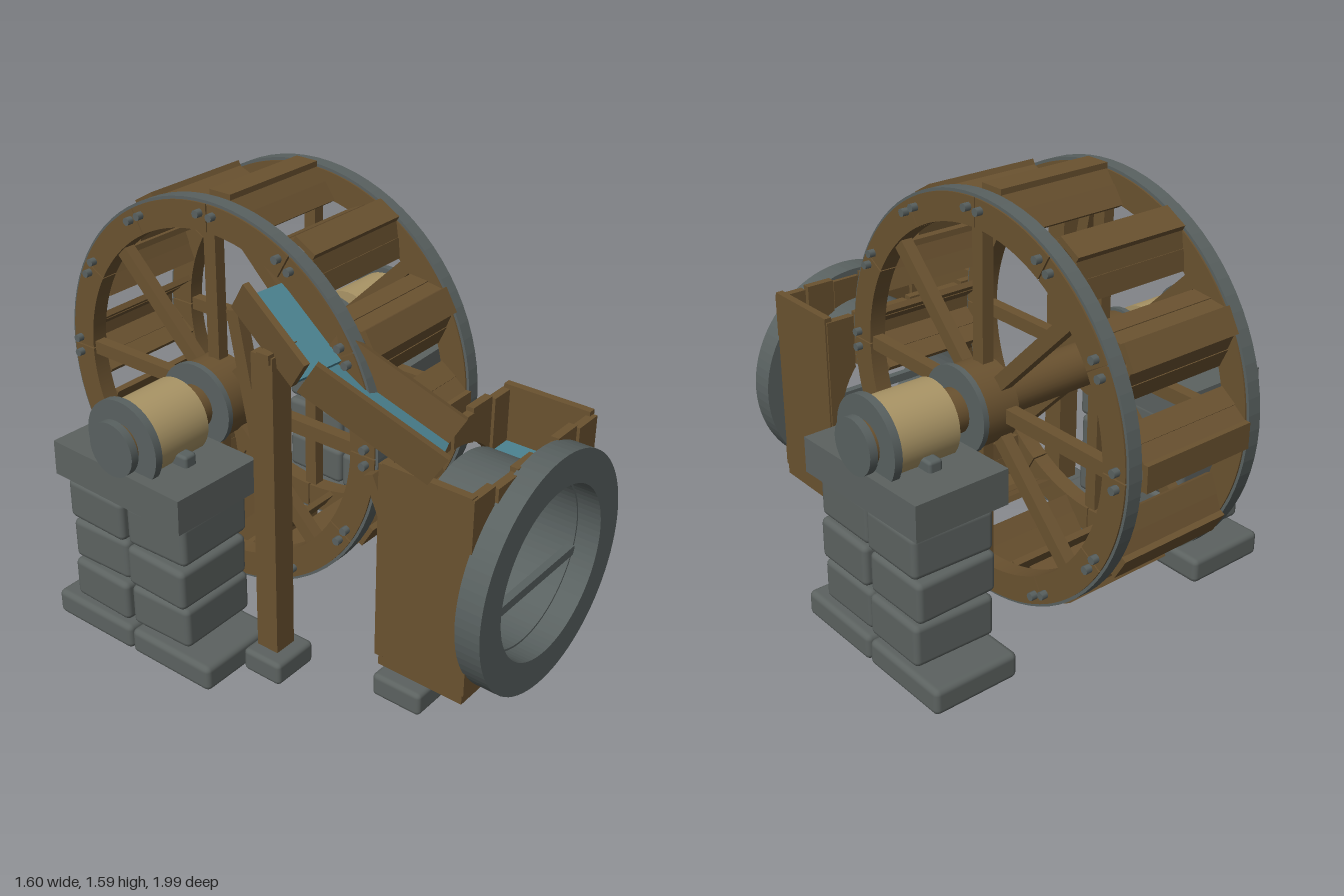
import * as THREE from 'three';
import { RoundedBoxGeometry } from 'three/addons/geometries/RoundedBoxGeometry.js';

const mat = (name, color) => {
  const m = new THREE.MeshStandardMaterial({ color });
  m.name = name;
  return m;
};

export function createModel() {
  const wood = mat('wood', 0x6a5230);
  const stone = mat('stone', 0x5c6260);
  const iron = mat('iron', 0x596160);
  const tan = mat('paleWood', 0xaa9566);
  const water = mat('water', 0x4c8391);
  water.side = THREE.DoubleSide;

  const model = new THREE.Group();
  model.name = 'waterWheelMill';

  const add = (parent, name, geo, material, pos = [0, 0, 0], rot = [0, 0, 0]) => {
    const mesh = new THREE.Mesh(geo, material);
    mesh.name = name;
    mesh.position.set(...pos);
    mesh.rotation.set(...rot);
    parent.add(mesh);
    return mesh;
  };
  const group = (parent, name, pos = [0, 0, 0]) => {
    const g = new THREE.Group();
    g.name = name;
    g.position.set(...pos);
    parent.add(g);
    return g;
  };
  const box = (w, h, d) => new THREE.BoxGeometry(w, h, d);
  const rod = (r, len, n = 32) => new THREE.CylinderGeometry(r, r, len, n).rotateZ(Math.PI / 2);
  const extrude = (shape, depth) =>
    new THREE.ExtrudeGeometry(shape, { depth, bevelEnabled: false, curveSegments: 40 }).translate(0, 0, -depth / 2);
  const ring = (outer, inner, depth) => {
    const s = new THREE.Shape().absarc(0, 0, outer, 0, Math.PI * 2);
    s.holes.push(new THREE.Path().absarc(0, 0, inner, 0, Math.PI * 2, true));
    return extrude(s, depth);
  };

  // Wheel
  const wheel = group(model, 'wheel', [0, 0.85, -0.25]);
  const step = Math.PI / 6;
  const arc = new THREE.Shape();
  arc.absarc(0, 0, 0.72, 0.004, step - 0.004, false);
  arc.absarc(0, 0, 0.62, step - 0.004, 0.004, true);
  const rimGeo = extrude(arc, 0.066).rotateY(Math.PI / 2);
  const tyreGeo = ring(0.731, 0.716, 0.054).rotateY(Math.PI / 2);
  const boltGeo = rod(0.015, 0.045, 8);
  for (const s of [-1, 1]) {
    const side = group(wheel, s > 0 ? 'leftRim' : 'rightRim');
    add(side, 'tyre', tyreGeo, iron, [s * 0.267, 0, 0]);
    for (let k = 0; k < 12; k++) {
      add(side, 'rimSegment', rimGeo, wood, [s * 0.267, 0, 0], [k * step, 0, 0]);
      for (const d of [-0.044, 0.044]) {
        const a = k * step + d;
        add(side, 'rimBolt', boltGeo, iron, [s * 0.302, 0.685 * Math.cos(a), 0.685 * Math.sin(a)]);
      }
    }
    for (let k = 0; k < 8; k++) {
      const a = k * Math.PI / 4;
      add(side, 'spoke', box(0.045, 0.54, 0.052), wood,
        [s * 0.267, 0.37 * Math.cos(a), 0.37 * Math.sin(a)], [a, 0, 0]);
    }
    add(side, 'hub', rod(0.148, 0.145), wood, [s * 0.305, 0, 0]);
    add(side, 'hubBand', rod(0.158, 0.022), iron, [s * 0.38, 0, 0]);
  }

  // Chevron paddles made of overlapping planks
  for (let k = 0; k < 12; k++) {
    const paddle = group(wheel, 'paddle');
    paddle.rotation.x = k * step;
    add(paddle, 'paddleCap', box(0.46, 0.022, 0.095), wood, [0, 0.734, 0]);
    for (const s of [-1, 1]) {
      add(paddle, 'paddlePlank', box(0.455, 0.022, 0.075), wood, [0, 0.697, s * 0.055], [s * 0.9, 0, 0]);
      add(paddle, 'paddlePlank', box(0.455, 0.022, 0.075), wood, [0, 0.642, s * 0.1], [s * 0.95, 0, 0]);
    }
  }

  // Axle and bearings
  add(wheel, 'axle', rod(0.08, 1.56), wood);
  for (const s of [-1, 1]) {
    const bearing = group(wheel, 'bearing');
    add(bearing, 'bearingDrum', rod(0.14, 0.26, 40), tan, [s * 0.605, 0, 0]);
    add(bearing, 'bearingFlange', rod(0.162, 0.03, 40), iron, [s * 0.735, 0, 0]);
    add(bearing, 'axleCap', rod(0.1, 0.03), iron, [s * 0.785, 0, 0]);
    add(bearing, 'bearingSaddle', new RoundedBoxGeometry(0.055, 0.06, 0.35, 2, 0.012), iron, [s * 0.6, -0.075, 0]);
  }

  // Stone piers
  const block = (parent, w, h, d, pos, rot) =>
    add(parent, 'stoneBlock', new RoundedBoxGeometry(w, h, d, 2, 0.022), stone, pos, rot);
  for (const s of [-1, 1]) {
    const pier = group(model, s > 0 ? 'leftPier' : 'rightPier');
    block(pier, 0.345, 0.1, 0.375, [s * 0.602, 0.052, -0.06]);
    block(pier, 0.345, 0.1, 0.38, [s * 0.602, 0.052, -0.443]);
    for (let r = 0; r < 3; r++) {
      for (const e of [0, 1]) {
        const tilt = ((r + e) % 2 ? 1 : -1) * 0.015;
        block(pier, 0.325, 0.158, 0.272, [s * (0.603 + tilt * 0.3), 0.206 + r * 0.168, -0.112 - e * 0.28],
          [tilt, -tilt, tilt * 0.6]);
      }
    }
    add(pier, 'capStone', box(0.375, 0.132, 0.61), stone, [s * 0.603, 0.698, -0.253], [0.01, s * 0.02, s * 0.01]);
  }

  // Plank box with round openings front and back
  const tank = group(model, 'plankBox', [0, 0, 0.73]);
  const cy = 0.47, holeR = 0.325;
  const plankHalf = (x0, x1, sign, yEnd) => {
    const pts = [];
    for (let i = 0; i <= 8; i++) {
      const x = x0 + (x1 - x0) * i / 8;
      pts.push(new THREE.Vector2(x, cy + sign * Math.sqrt(Math.max(0, holeR * holeR - x * x))));
    }
    pts.push(new THREE.Vector2(x1, yEnd), new THREE.Vector2(x0, yEnd));
    return extrude(new THREE.Shape(pts), 0.032);
  };
  for (let i = 0; i < 6; i++) {
    const x0 = -0.376 + i * 0.1255, x1 = x0 + 0.118;
    const top = 0.9 - (i % 2) * 0.012;
    for (const z of [-0.168, 0.168]) {
      const zz = z + (i % 2 ? 0.005 : -0.003);
      add(tank, 'plankTop', plankHalf(x0, x1, 1, top), wood, [0, 0, zz]);
      add(tank, 'plankBottom', plankHalf(x0, x1, -1, 0.14), wood, [0, 0, zz]);
    }
  }
  for (const s of [-1, 1]) add(tank, 'sideWall', box(0.03, 0.76, 0.345), wood, [s * 0.361, 0.525, 0]);
  add(tank, 'floor', box(0.745, 0.042, 0.345), wood, [0, 0.122, 0]);
  add(tank, 'waterSurface', box(0.685, 0.008, 0.29), water, [0, 0.68, 0]);
  add(tank, 'backBrace', box(0.07, 0.24, 0.04), wood, [-0.3, 0.7, -0.21], [-0.42, 0, 0]);
  add(tank, 'footStone', new RoundedBoxGeometry(0.2, 0.09, 0.2, 2, 0.018), stone, [-0.32, 0.046, -0.065]);

  // Round outlet pipe with flange
  const pipe = group(model, 'outletPipe', [0, cy, 0]);
  add(pipe, 'flange', ring(0.443, 0.32, 0.095), iron, [0, 0, 0.952]);
  add(pipe, 'pipeTube', ring(0.323, 0.312, 0.29), iron, [0, 0, 0.765]);
  add(pipe, 'crossBar', box(0.61, 0.035, 0.03), iron, [0, -0.1, 0.9]);

  // Chute: sloping water slab between side boards
  const chute = (name, pos, yaw, pitch, width, len, sides) => {
    const g = group(model, name, pos);
    g.rotation.set(pitch, yaw, 0, 'YXZ');
    add(g, 'chuteWater', box(width, 0.018, len), water, [0, 0, len / 2]);
    for (const s of sides) {
      add(g, 'chuteSide', box(0.024, 0.13, len), wood, [s * (width / 2 + 0.008), 0.045, len / 2], [0, 0, -s * 0.12]);
    }
  };
  chute('upperChute', [-0.39, 1.365, 0.06], -0.09, 0.62, 0.2, 0.33, [-1]);
  chute('lowerChute', [-0.425, 1.18, 0.31], 0.38, 0.55, 0.23, 0.5, [-1, 1]);

  // Chute support
  const support = group(model, 'chuteSupport');
  add(support, 'post', box(0.09, 1.15, 0.09), wood, [-0.495, 0.665, 0.197]);
  add(support, 'slantBrace', box(0.045, 0.78, 0.05), wood, [-0.44, 0.93, 0.08], [-0.2, 0, 0]);
  add(support, 'crossPeg', box(0.14, 0.035, 0.05), wood, [-0.48, 1.235, 0.21]);
  add(support, 'footStone', new RoundedBoxGeometry(0.19, 0.09, 0.165, 2, 0.018), stone, [-0.5, 0.046, 0.212]);

  return model;
}
